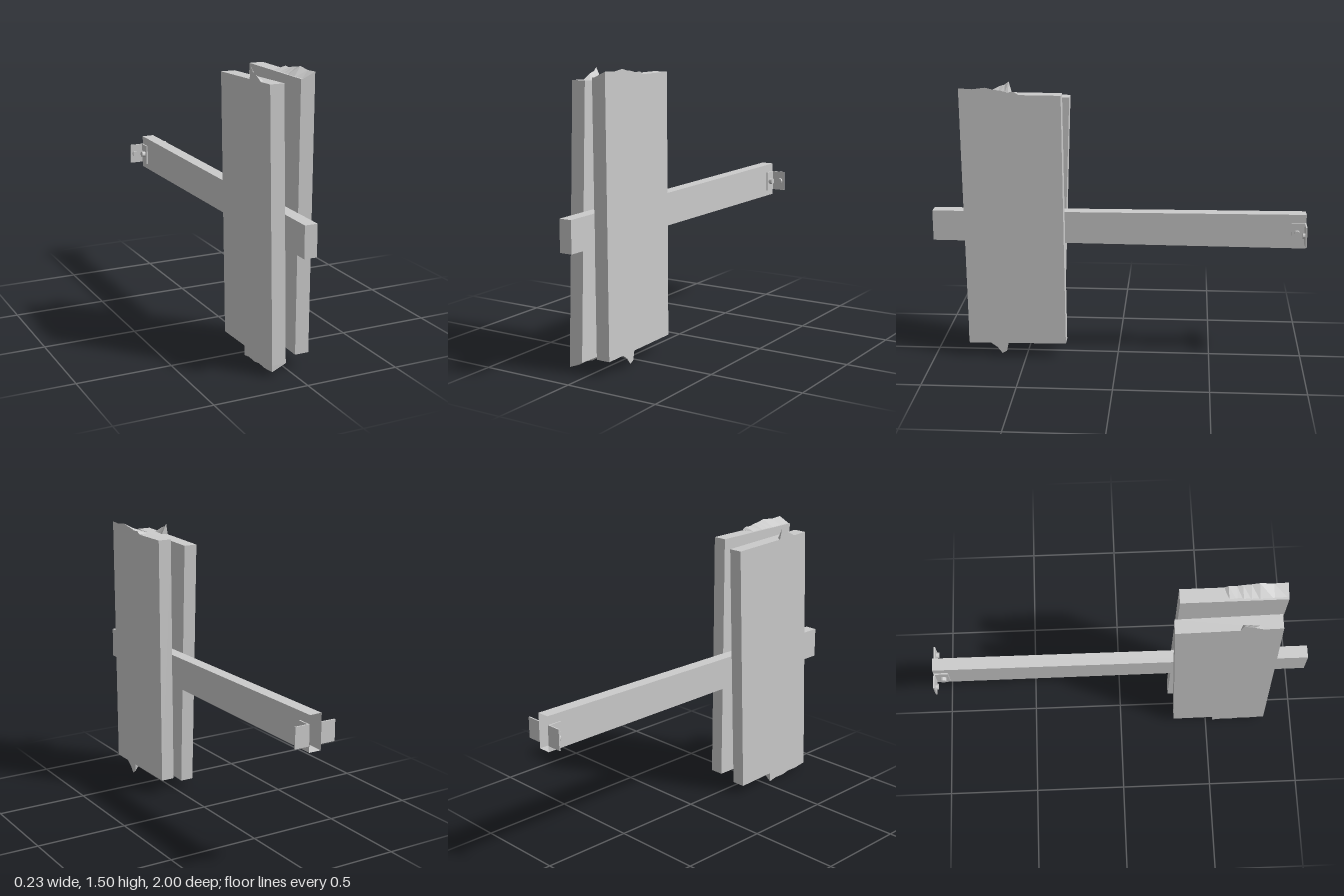
import * as THREE from 'three';

const mat = new THREE.MeshStandardMaterial({ color: 0xcccccc, flatShading: true, side: THREE.DoubleSide });

function add(parent, geo, name, x = 0, y = 0, z = 0) {
  const m = new THREE.Mesh(geo, mat);
  m.name = name;
  m.position.set(x, y, z);
  parent.add(m);
  return m;
}

// Plank: a [z, y] outline extruded along x from x0 to x1
function plank(outline, x0, x1) {
  const shape = new THREE.Shape(outline.map(([z, y]) => new THREE.Vector2(-z, y)));
  const geo = new THREE.ExtrudeGeometry(shape, { depth: x1 - x0, bevelEnabled: false });
  return geo.rotateY(Math.PI / 2).translate(x0, 0, 0);
}

// Broken edge: triangular section (inner base, outer base, tip) lofted along rising z
function splinter(xIn, xOut, yBase, tips) {
  const rows = tips.map(([z, y]) => [[xIn, yBase, z], [xOut, yBase, z], [xOut, y, z]]);
  const flip = (xOut - xIn) * (tips[1][1] - yBase) < 0;
  const pos = [];
  const tri = (a, b, c) => pos.push(...a, ...(flip ? c : b), ...(flip ? b : c));
  for (let i = 0; i < rows.length - 1; i++) {
    for (let k = 0; k < 3; k++) {
      const p = rows[i], q = rows[i + 1], n = (k + 1) % 3;
      tri(p[k], p[n], q[n]);
      tri(p[k], q[n], q[k]);
    }
  }
  const last = rows[rows.length - 1];
  tri(rows[0][0], rows[0][2], rows[0][1]);
  tri(last[0], last[1], last[2]);
  const geo = new THREE.BufferGeometry();
  geo.setAttribute('position', new THREE.Float32BufferAttribute(pos, 3));
  geo.computeVertexNormals();
  return geo;
}

// Beam: slightly taller at the back, where its end is open
function beam() {
  const geo = new THREE.BoxGeometry(0.068, 0.165, 2).toNonIndexed();
  const p = geo.attributes.position;
  for (let i = 0; i < p.count; i++) {
    if (p.getZ(i) < 0) p.setY(i, Math.sign(p.getY(i)) * 0.0935);
  }
  // the last six vertices are the rear cap
  const open = new THREE.BufferGeometry();
  open.setAttribute('position', new THREE.Float32BufferAttribute(p.array.slice(0, 30 * 3), 3));
  open.computeVertexNormals();
  return open;
}

// Angle bracket with one bolt in each leg
function bracket(side) {
  const g = new THREE.Group();
  g.name = side > 0 ? 'leftBracket' : 'rightBracket';
  add(g, new THREE.BoxGeometry(0.008, 0.11, 0.07), 'bracketSideLeg', side * 0.038, 0.72, -0.957);
  add(g, new THREE.BoxGeometry(0.082, 0.11, 0.008), 'bracketWallLeg', side * 0.075, 0.72, -0.995);
  const head = r => new THREE.CylinderGeometry(r, r, 0.02, 12);
  add(g, head(0.017), 'sideBolt', side * 0.052, 0.72, -0.952).rotation.z = Math.PI / 2;
  add(g, head(0.016), 'wallBolt', side * 0.09, 0.72, -0.987).rotation.x = Math.PI / 2;
  return g;
}

export function createModel() {
  const root = new THREE.Group();
  root.name = 'hangingSign';

  add(root, beam(), 'beam', 0, 0.727, 0);

  // Left board, nearly upright
  const left = new THREE.Group();
  left.name = 'leftBoard';
  add(left, plank([[0.81, 0.08], [0.28, 0.085], [0.29, 1.457], [0.82, 1.46]], 0.033, 0.108), 'leftPlank');
  add(left, splinter(0.033, 0.108, 1.455, [
    [0.51, 1.46], [0.53, 1.474], [0.57, 1.472], [0.6, 1.48],
    [0.64, 1.485], [0.68, 1.495], [0.75, 1.486], [0.82, 1.49],
  ]), 'leftTopSplinter');
  add(left, splinter(0.07, 0.108, 0.085, [
    [0.595, 0.08], [0.605, 0.035], [0.63, 0.022], [0.655, 0.055], [0.69, 0.08],
  ]), 'leftBottomSplinter');
  root.add(left);

  // Right board, leaning back at the top
  const right = new THREE.Group();
  right.name = 'rightBoard';
  add(right, plank([[0.84, 0.06], [0.31, 0.046], [0.26, 1.42], [0.785, 1.44]], -0.11, -0.035), 'rightPlank');
  add(right, splinter(-0.078, -0.11, 1.425, [
    [0.575, 1.435], [0.59, 1.49], [0.61, 1.472], [0.64, 1.463], [0.69, 1.437],
  ]), 'rightTopSplinter');
  add(right, splinter(-0.035, -0.11, 0.06, [
    [0.54, 0], [0.59, 0.01], [0.65, 0.008], [0.7, 0.018], [0.76, 0.016], [0.84, 0.026],
  ]), 'rightBottomSplinter');
  root.add(right);

  for (const side of [1, -1]) root.add(bracket(side));
  return root;
}
